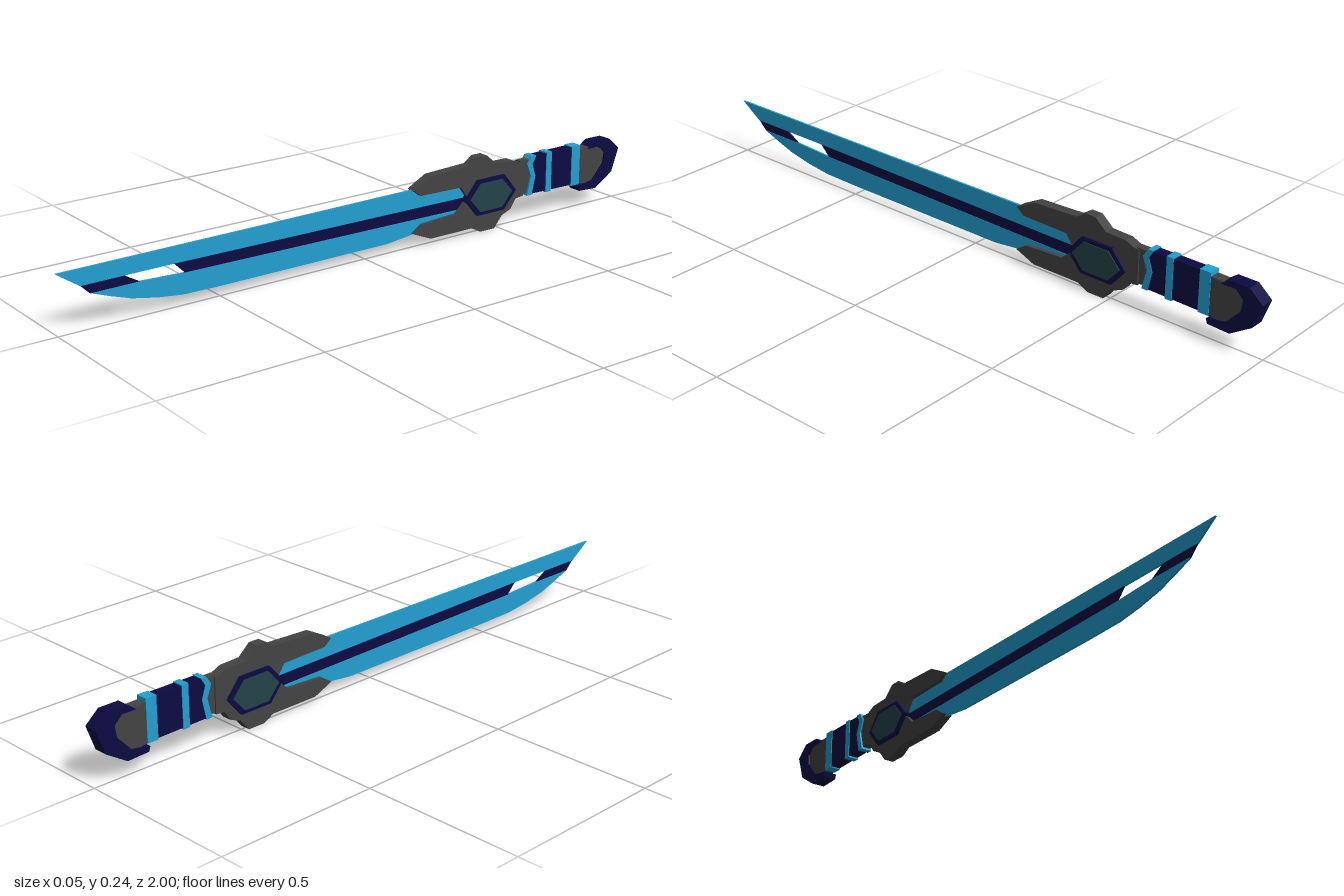
import * as THREE from 'three';

const mat = (name, color) => new THREE.MeshStandardMaterial({ name, color });

export function createModel() {
  const cyan = mat('cyan', 0x22a0d2);
  const navy = mat('navy', 0x0c0a42);
  const grey = mat('dark grey', 0x434343);
  const teal = mat('dark teal', 0x24434a);
  const sword = new THREE.Group();
  sword.name = 'sword';

  // Side outline given as [z, y] points, extruded evenly to both sides of x = 0
  function plate(name, material, half, points) {
    const shape = new THREE.Shape(points.map(([z, y]) => new THREE.Vector2(z, y)));
    const geo = new THREE.ExtrudeGeometry(shape, { depth: half * 2, bevelEnabled: false });
    geo.translate(0, 0, -half).rotateY(-Math.PI / 2);
    const mesh = new THREE.Mesh(geo, material);
    mesh.name = name;
    sword.add(mesh);
  }

  // Blade: two bright strips with a thinner dark core and a slot between them
  plate('bladeSpine', cyan, 0.003, [
    [1, 0.175], [0.93, 0.127], [0.645, 0.127], [-0.4, 0.118], [-0.4, 0.18], [-0.2, 0.18], [0.4, 0.177]]);
  plate('bladeEdge', cyan, 0.003, [
    [0.9, 0.1], [0.84, 0.078], [0.78, 0.058], [0.7, 0.042], [0.62, 0.032], [0.5, 0.03],
    [-0.08, 0.03], [-0.2, 0.043], [-0.4, 0.06], [-0.4, 0.083], [0.61, 0.094], [0.75, 0.1]]);
  plate('bladeCore', navy, 0.002, [
    [0.645, 0.128], [0.61, 0.093], [-0.4, 0.082], [-0.4, 0.119]]);
  plate('bladeTipCore', navy, 0.002, [
    [0.93, 0.128], [0.8, 0.128], [0.75, 0.099], [0.9, 0.099]]);

  // Forked guard
  plate('guard', grey, 0.016, [
    [-0.17, 0.18], [-0.235, 0.214], [-0.385, 0.22], [-0.415, 0.24], [-0.45, 0.24], [-0.488, 0.207],
    [-0.555, 0.205], [-0.585, 0.192], [-0.6, 0.192], [-0.6, 0.083], [-0.57, 0.08], [-0.55, 0.05],
    [-0.515, 0.036], [-0.485, 0], [-0.43, 0], [-0.395, 0.018], [-0.235, 0.018], [-0.17, 0.045],
    [-0.205, 0.068], [-0.335, 0.075], [-0.38, 0.115], [-0.35, 0.157], [-0.195, 0.16]]);
  plate('neck', grey, 0.012, [[-0.59, 0.195], [-0.66, 0.195], [-0.66, 0.087], [-0.59, 0.087]]);

  // Hexagonal gem in a dark rim, showing on both sides
  const hexagon = (len, flat, high) => [
    [len, 0], [flat, high], [-flat, high], [-len, 0], [-flat, -high], [flat, -high],
  ].map(([z, y]) => [z - 0.463, y + 0.113]);
  plate('gemRim', navy, 0.0245, hexagon(0.1, 0.053, 0.056));
  plate('gem', teal, 0.027, hexagon(0.083, 0.043, 0.045));

  // Grip with bright bands
  plate('gripFrontBand', cyan, 0.018, [
    [-0.632, 0.205], [-0.615, 0.18], [-0.63, 0.14], [-0.615, 0.08],
    [-0.635, 0.08], [-0.648, 0.14], [-0.635, 0.18], [-0.65, 0.205]]);
  plate('grip', navy, 0.016, [
    [-0.635, 0.202], [-0.632, 0.18], [-0.645, 0.14], [-0.632, 0.083], [-0.82, 0.08], [-0.82, 0.203]]);
  for (const [front, back] of [[-0.693, -0.715], [-0.8, -0.835]]) {
    plate('gripBand', cyan, 0.018, [[front, 0.206], [back, 0.206], [back, 0.077], [front, 0.077]]);
  }

  // Pommel: grey core wrapped by a dark hook
  plate('pommelCore', grey, 0.0165, [
    [-0.83, 0.194], [-0.9, 0.192], [-0.95, 0.168], [-0.945, 0.128], [-0.89, 0.072], [-0.83, 0.078]]);
  plate('pommelHook', navy, 0.0215, [
    [-0.868, 0.188], [-0.893, 0.207], [-0.957, 0.207], [-1, 0.17], [-0.973, 0.095], [-0.905, 0.052],
    [-0.835, 0.055], [-0.83, 0.07], [-0.89, 0.08], [-0.935, 0.13], [-0.94, 0.165], [-0.915, 0.189]]);

  return sword;
}
